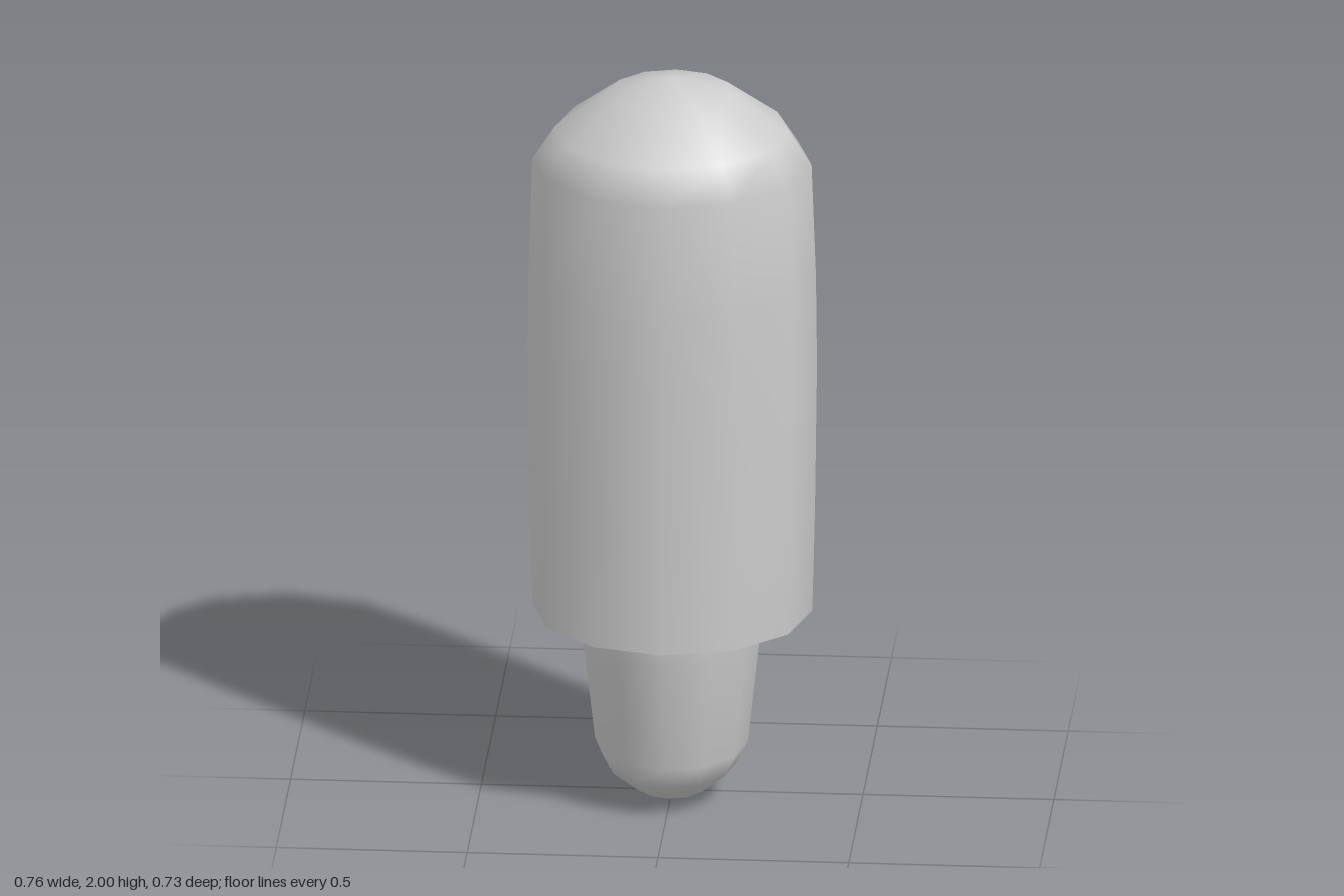
import * as THREE from 'three';
import { mergeVertices } from 'three/addons/utils/BufferGeometryUtils.js';

const SIDES = 12;

// Skin a stack of oval rings, lowest first: [y, halfWidth, frontZ, backZ]
function loft(rings) {
  const pos = [], index = [];
  for (const [y, w, front, back] of rings) {
    const mid = (front + back) / 2, depth = (front - back) / 2;
    for (let j = 0; j < SIDES; j++) {
      const a = (j / SIDES) * Math.PI * 2;
      pos.push(w * Math.cos(a), y, mid + depth * Math.sin(a));
    }
  }
  for (let i = 0; i < rings.length - 1; i++) {
    for (let j = 0; j < SIDES; j++) {
      const p = i * SIDES + j, n = i * SIDES + (j + 1) % SIDES;
      index.push(p, p + SIDES, n, p + SIDES, n + SIDES, n);
    }
  }
  const geo = new THREE.BufferGeometry();
  geo.setAttribute('position', new THREE.Float32BufferAttribute(pos, 3));
  geo.setIndex(index);
  const merged = mergeVertices(geo); // welds the poles
  merged.computeVertexNormals();
  return merged;
}

export function createModel() {
  const group = new THREE.Group();
  group.name = 'cappedPeg';
  const grey = new THREE.MeshStandardMaterial({ color: 0xcccccc, side: THREE.DoubleSide });
  grey.name = 'light grey';

  // Domed sleeve, open at the bottom
  const sleeve = new THREE.Mesh(loft([
    [0.51, 0.367, 0.355, -0.36],
    [0.8, 0.375, 0.365, -0.345],
    [1.2, 0.38, 0.364, -0.349],
    [1.45, 0.377, 0.36, -0.353],
    [1.76, 0.366, 0.355, -0.34],
    [1.85, 0.307, 0.302, -0.285],
    [1.955, 0.163, 0.18, -0.155],
    [2.0, 0, 0.015, 0.015],
  ]), grey);
  sleeve.name = 'outerSleeve';

  // Tapered core with a rounded tip, continuing up inside the sleeve
  const core = new THREE.Mesh(loft([
    [0, 0, 0.02, 0.02],
    [0.022, 0.095, 0.125, -0.09],
    [0.085, 0.168, 0.215, -0.178],
    [0.15, 0.2, 0.255, -0.21],
    [0.46, 0.234, 0.314, -0.233],
    [0.6, 0.248, 0.318, -0.246],
    [0.85, 0.25, 0.3, -0.25],
    [0.97, 0.17, 0.2, -0.17],
    [1.02, 0, 0.02, 0.02],
  ]), grey);
  core.name = 'innerCore';

  group.add(sleeve, core);
  return group;
}
